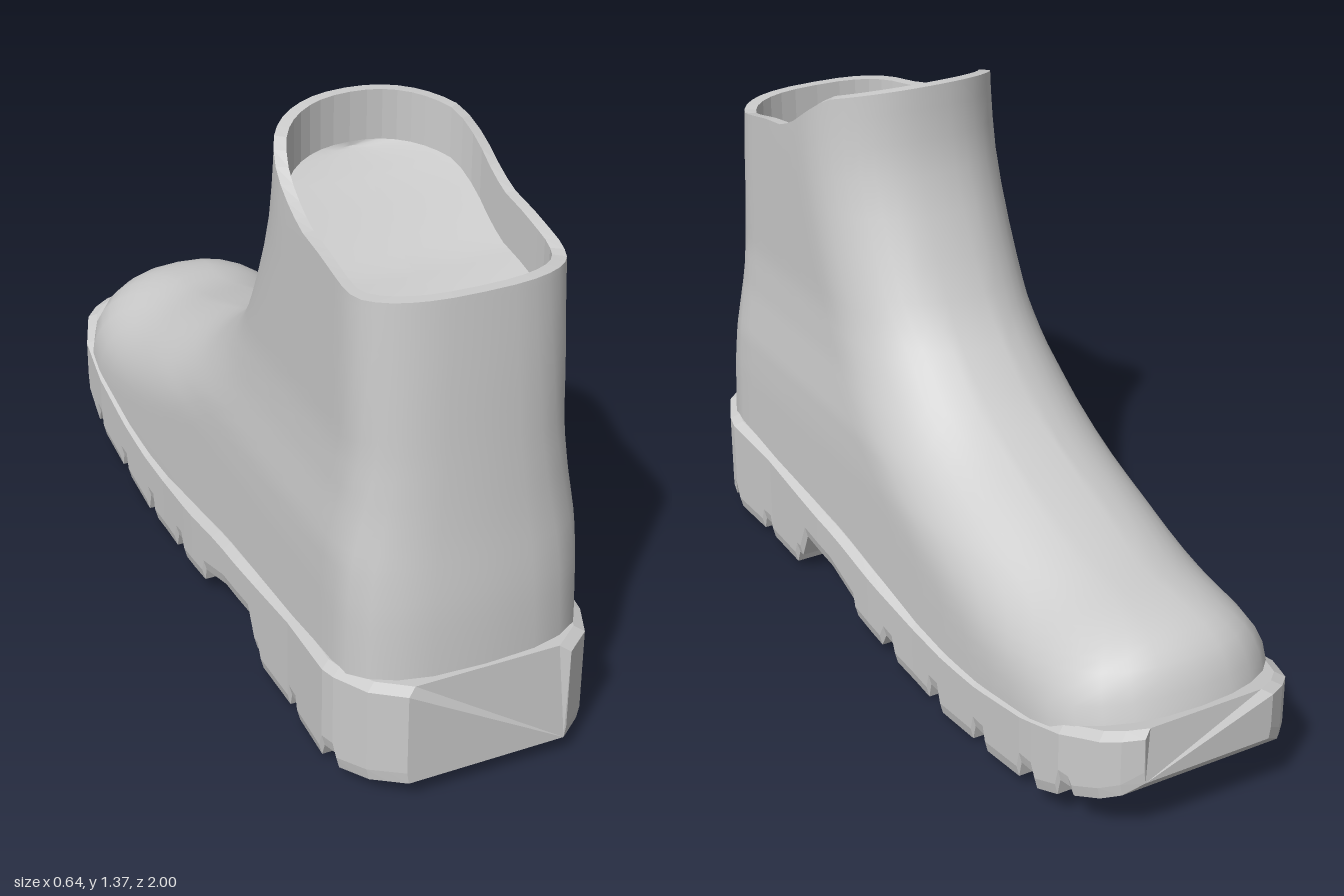
import * as THREE from 'three';

const V = (z, y) => new THREE.Vector2(z, y);
const curve = pts => new THREE.SplineCurve(pts.map(p => V(...p)));

// piecewise linear lookup in [[x, y], ...] with rising x
function lerpTable(t, x) {
  if (x <= t[0][0]) return t[0][1];
  for (let i = 1; i < t.length; i++) {
    if (x <= t[i][0]) {
      const k = (x - t[i - 1][0]) / (t[i][0] - t[i - 1][0]);
      return t[i - 1][1] + k * (t[i][1] - t[i - 1][1]);
    }
  }
  return t[t.length - 1][1];
}

// skin over closed rings of [x, y, z], with optional flat ends
function loft(rings, caps = false) {
  const n = rings[0].length, pos = rings.flat(2), idx = [];
  for (let r = 0; r < rings.length - 1; r++) {
    for (let i = 0; i < n; i++) {
      const a = r * n + i, b = r * n + (i + 1) % n;
      idx.push(a, a + n, b, b, a + n, b + n);
    }
  }
  if (caps) {
    const e = (rings.length - 1) * n;
    for (let i = 1; i < n - 1; i++) idx.push(0, i, i + 1, e, e + i + 1, e + i);
  }
  const g = new THREE.BufferGeometry();
  g.setAttribute('position', new THREE.Float32BufferAttribute(pos, 3));
  g.setIndex(idx);
  g.computeVertexNormals();
  return g;
}

// side profiles as (z, y): toe and instep, heel back
const instep = curve([[-0.975, 0.27], [-0.935, 0.37], [-0.87, 0.43], [-0.77, 0.46], [-0.6, 0.485],
  [-0.4, 0.55], [-0.2, 0.63], [-0.06, 0.73], [0.07, 0.87], [0.2, 1.15], [0.225, 1.37]]);
const heelBack = curve([[0.975, 0.27], [0.965, 0.45], [0.945, 0.63], [0.93, 0.8], [0.915, 1.0], [0.9, 1.18]]);
// height of the sole's top edge and of the collar rim, along z
const seamLine = [[-1, 0.295], [-0.9, 0.27], [-0.7, 0.215], [-0.5, 0.178], [-0.35, 0.168], [-0.2, 0.175],
  [0, 0.2], [0.2, 0.23], [0.4, 0.243], [0.8, 0.275], [1, 0.295]];
const collarLine = [[0.225, 1.37], [0.35, 1.335], [0.43, 1.28], [0.5, 1.235], [0.56, 1.212], [0.65, 1.2],
  [0.8, 1.17], [0.9, 1.18]];
// half width of the upper by height, half width of the sole by z
const upperWidth = [[0.18, 0.295], [0.45, 0.29], [0.55, 0.285], [0.68, 0.267], [0.8, 0.257], [1.2, 0.255], [1.37, 0.25]];
const soleWidth = [[-1, 0.17], [-0.975, 0.215], [-0.94, 0.25], [-0.84, 0.29], [-0.7, 0.303], [-0.2, 0.31], [0, 0.318],
  [0.3, 0.318], [0.6, 0.31], [0.83, 0.32], [0.94, 0.27], [1, 0.2]];
// tread profile as (z, y), from heel to toe
const tread = [[1, 0.05], [0.94, 0.04], [0.86, 0.025], [0.85, 0.06], [0.81, 0.055], [0.795, 0.018], [0.66, 0.016],
  [0.65, 0.05], [0.61, 0.05], [0.6, 0.016], [0.45, 0.018], [0.435, 0.055], [0.415, 0.055], [0.38, 0.13], [0.23, 0.12],
  [0.1, 0.08], [0.09, 0.045], [-0.04, 0.03], [-0.06, 0.068], [-0.1, 0.062], [-0.115, 0.02], [-0.27, 0.008],
  [-0.28, 0.05], [-0.32, 0.05], [-0.335, 0], [-0.48, 0.014], [-0.49, 0.055], [-0.535, 0.055], [-0.545, 0.018],
  [-0.685, 0.036], [-0.695, 0.08], [-0.74, 0.08], [-0.755, 0.045], [-0.83, 0.075], [-0.84, 0.12], [-0.865, 0.115],
  [-0.875, 0.095], [-0.94, 0.12], [-0.975, 0.138], [-1, 0.17]];

const frontPts = instep.getPoints(300), backPts = heelBack.getPoints(150);
const nearest = (p, pts) => Math.min(...pts.map(q => q.distanceTo(p)));
// rounds the width off towards a profile edge
function roundOff(d, radius, n) {
  const t = Math.min(d / radius, 1);
  return Math.pow(1 - Math.pow(1 - t, n), 1 / n);
}

const COLS = 26, ROWS = 30;

// one ring around the boot: down the +x side from front to back, then mirrored
function upperRing(k) {
  const f = instep.getPoint(k), b = heelBack.getPoint(k);
  const f0 = instep.getPoint(0), b0 = heelBack.getPoint(0), f1 = instep.getPoint(1), b1 = heelBack.getPoint(1);
  const side = [];
  for (let i = 0; i <= COLS; i++) {
    const s = 0.5 - 0.5 * Math.cos(Math.PI * i / COLS);
    const p = f.clone().lerp(b, s);
    const lo = f0.clone().lerp(b0, s), hi = f1.clone().lerp(b1, s);
    p.y += (lerpTable(seamLine, lo.x) - 0.02 - lo.y) * (1 - k) ** 2 + (lerpTable(collarLine, hi.x) - hi.y) * k ** 4;
    const end = i === 0 || i === COLS;
    const x = end ? 0 : lerpTable(upperWidth, p.y)
      * roundOff(nearest(p, frontPts), 0.24, 2.2) * roundOff(nearest(p, backPts), 0.17, 2.6);
    side.push([x, p.y, p.x]);
  }
  return [...side, ...side.slice(1, -1).reverse().map(([x, y, z]) => [-x, y, z])];
}

export function createModel() {
  const boot = new THREE.Group();
  boot.name = 'boot';
  const add = (name, geometry, flatShading) => {
    const mesh = new THREE.Mesh(geometry,
      new THREE.MeshStandardMaterial({ color: 0xcccccc, flatShading, side: THREE.DoubleSide }));
    mesh.name = name;
    boot.add(mesh);
  };

  // upper: foot and shaft in one skin
  const rings = Array.from({ length: ROWS + 1 }, (_, r) => upperRing(r / ROWS));
  add('upper', loft(rings), false);

  // collar rim, inner wall and the sunken floor closing the opening
  const rim = rings[ROWS];
  const inset = (sx, drop) => rim.map(([x, y, z]) => [x * sx, y - drop, 0.56 + (z - 0.56) * 0.92]);
  add('collar', loft([rim, inset(0.9, 0), inset(0.9, 0.12)]), true);
  add('innerFloor', loft([inset(0.9, 0.12), inset(0.45, 0.13), inset(0, 0.13)]), false);

  // sole: sections across the boot, following the lugs of the tread
  const extra = [0.97, 0.9, 0.73, 0.53, 0.3, 0.16, 0.02, -0.2, -0.41, -0.61, -0.9];
  const bottom = [...tread].reverse();
  const stations = [...tread.map(p => p[0]), ...extra].sort((a, b) => b - a);
  add('sole', loft(stations.map(z => {
    const w = lerpTable(soleWidth, z), top = lerpTable(seamLine, z), low = lerpTable(bottom, z);
    const half = [[w * 0.975, low, z], [w, low + 0.03, z], [w, top - 0.008, z], [w - 0.022, top + 0.005, z * 0.985]];
    return [...half, ...[...half].reverse().map(([x, y, q]) => [-x, y, q])];
  }), true), true);

  return boot;
}
